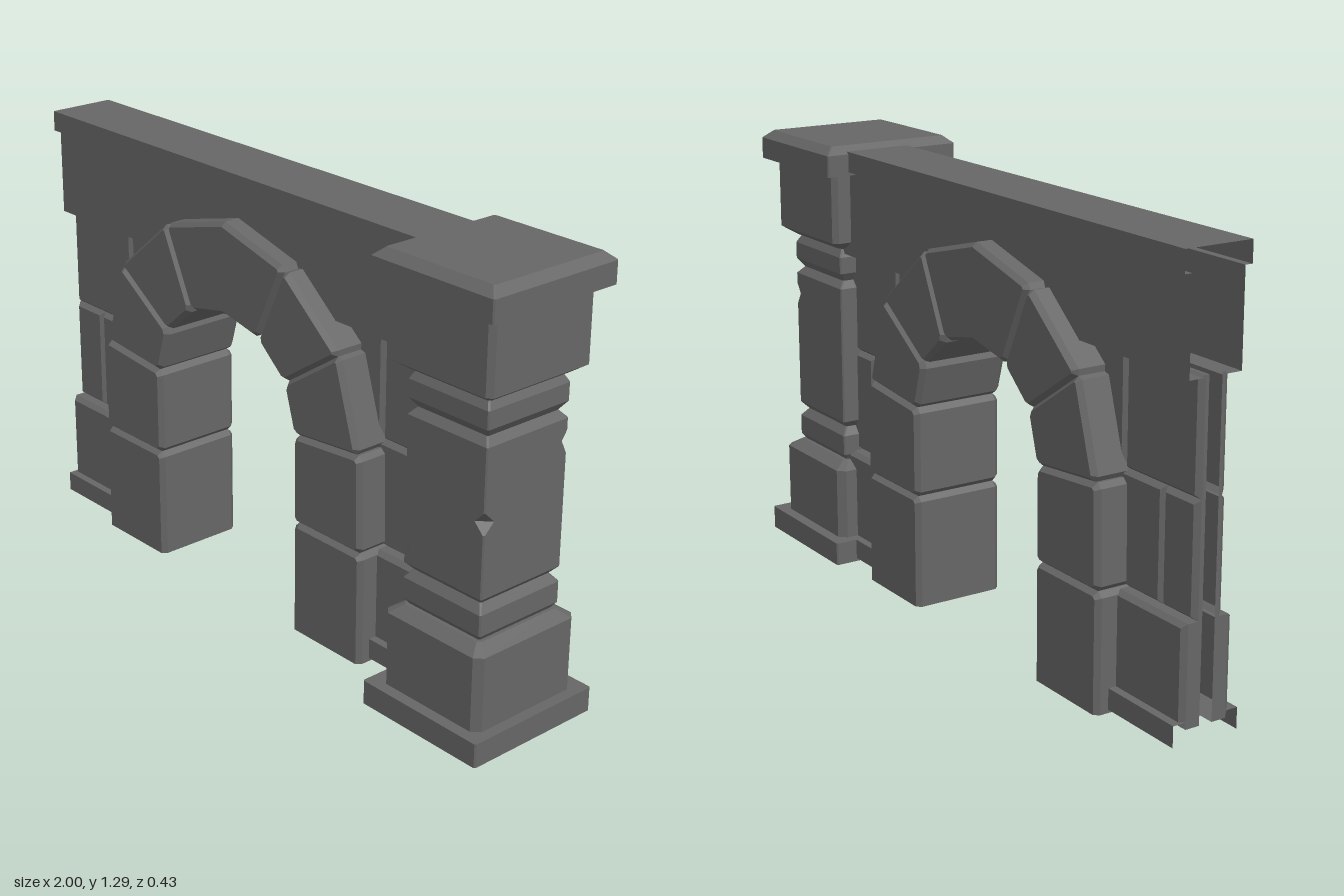
import * as THREE from 'three';

const stone = new THREE.MeshStandardMaterial({ color: 0x666666, flatShading: true, side: THREE.DoubleSide });
stone.name = 'dark grey stone';

const WALL_Z = -0.047; // middle plane of wall and arch
const ARCH_X = -0.15; // middle of the opening

// Joins equal-length rings of points; caps are fans about the ring centre.
function loft(rings, { capStart = true, capEnd = true, closed = true } = {}) {
  const pos = [];
  const tri = (...pts) => pts.forEach((p) => pos.push(p.x, p.y, p.z));
  const n = rings[0].length;
  for (let r = 0; r + 1 < rings.length; r++) {
    const a = rings[r], b = rings[r + 1];
    for (let i = 0; i < (closed ? n : n - 1); i++) {
      const j = (i + 1) % n;
      tri(a[i], a[j], b[j]);
      tri(a[i], b[j], b[i]);
    }
  }
  const cap = (ring, flip) => {
    const c = ring.reduce((s, p) => s.add(p), new THREE.Vector3()).divideScalar(n);
    ring.forEach((p, i) => {
      const q = ring[(i + 1) % n];
      if (flip) tri(c, q, p); else tri(c, p, q);
    });
  };
  if (capStart) cap(rings[0], true);
  if (capEnd) cap(rings[rings.length - 1], false);
  const g = new THREE.BufferGeometry();
  g.setAttribute('position', new THREE.Float32BufferAttribute(pos, 3));
  g.computeVertexNormals();
  return g;
}

// Moves every edge of a counter-clockwise outline inwards by d.
function inset(pts, d) {
  return pts.map((p, i) => {
    const prev = pts[(i + pts.length - 1) % pts.length], next = pts[(i + 1) % pts.length];
    const u = p.clone().sub(prev).normalize(), v = next.clone().sub(p).normalize();
    const n1 = new THREE.Vector2(-u.y, u.x), n2 = new THREE.Vector2(-v.y, v.x);
    const m = n1.clone().add(n2);
    return p.clone().addScaledVector(m, d / (1 + n1.dot(n2)));
  });
}

// Cuts off the sharp corners of an outline.
function cutCorners(pts, d) {
  return pts.flatMap((p, i) => {
    const a = pts[(i + pts.length - 1) % pts.length].clone().sub(p).normalize();
    const b = pts[(i + 1) % pts.length].clone().sub(p).normalize();
    if (a.dot(b) < -0.8) return [p];
    return [p.clone().addScaledVector(a, d), p.clone().addScaledVector(b, d)];
  });
}

const lift = (pts, z) => pts.map((p) => new THREE.Vector3(p.x, Math.max(p.y, 0), z));
const outline = (list) => list.map(([x, y]) => new THREE.Vector2(x, y));

// Bevelled arch stone, from a counter-clockwise outline.
function archStone(pts, half = 0.142) {
  const full = cutCorners(pts, 0.015), small = inset(full, 0.012);
  return loft([
    lift(small, WALL_Z - half), lift(full, WALL_Z - half + 0.015),
    lift(full, WALL_Z + half - 0.015), lift(small, WALL_Z + half),
  ]);
}

// Bevelled wall facing, open at the back; side is +1 front, -1 back.
function facing(x0, x1, y0, y1, depth, side) {
  const full = outline([[x0, y0], [x1, y0], [x1, y1], [x0, y1]]);
  const small = inset(full, 0.012);
  const rings = [[full, 0.02], [full, depth - 0.015], [small, depth]].map(([pts, d]) => {
    const ring = lift(pts, WALL_Z + side * d);
    return side > 0 ? ring : ring.reverse();
  });
  return loft(rings, { capStart: false });
}

// Open moulding running along x, from [y, z offset] points.
function moulding(profile, x0, x1) {
  const ring = (x) => profile.map(([y, d]) => new THREE.Vector3(x, y, WALL_Z + d));
  return loft([ring(x0), ring(x1)], { capStart: false, capEnd: false, closed: false });
}

// Square pillar section; cuts are the corner chamfers, starting at front right.
function pillarRing(y, half, cut = 0.004, chips = {}) {
  const corners = [[1, 1], [1, -1], [-1, -1], [-1, 1]];
  return corners.flatMap(([sx, sz], i) => {
    const c = chips[i] ?? cut, inX = half - c;
    const a = new THREE.Vector3(sx * inX * 0.965, y, sz * half);
    const b = new THREE.Vector3(sx * half * 0.965, y, sz * inX);
    return sx * sz > 0 ? [a, b] : [b, a];
  });
}

export function createModel() {
  const model = new THREE.Group();
  const add = (parent, name, geometry) => {
    const mesh = new THREE.Mesh(geometry, stone);
    mesh.name = name;
    parent.add(mesh);
    return mesh;
  };
  const group = (name) => {
    const g = new THREE.Group();
    g.name = name;
    model.add(g);
    return g;
  };

  // Upper wall with coping
  const wall = group('wall');
  const half = [[0.955, 0.02], [0.955, 0.08], [1.215, 0.08], [1.215, 0.102], [1.275, 0.102]];
  const upper = [...half, ...half.map(([y, d]) => [y, -d]).reverse()];
  add(wall, 'upperWallAndCoping', moulding(upper, -1, 0.85));

  // Facing blocks and plinth on both faces
  const blocks = [
    [-1, -0.6, 0.05, 0.333, 0.078], [0.3, 0.7, 0.05, 0.333, 0.078],
    [-1, -0.867, 0.333, 0.648, 0.047], [-0.867, -0.6, 0.333, 0.648, 0.047],
    [0.3, 0.555, 0.333, 0.648, 0.047], [0.555, 0.72, 0.333, 0.648, 0.047],
    [-1, -0.705, 0.648, 0.962, 0.045], [-0.705, -0.5, 0.648, 0.962, 0.045],
    [0.2, 0.405, 0.648, 0.962, 0.045], [0.405, 0.72, 0.648, 0.962, 0.045],
  ];
  for (const side of [1, -1]) {
    for (const b of blocks) add(wall, 'wallBlock', facing(...b, side));
    const plinth = [[0.01, 0.102], [0.07, 0.102], [0.07, 0.02]].map(([y, d]) => [y, d * side]);
    if (side < 0) plinth.reverse();
    for (const [x0, x1] of [[-1, -0.6], [0.3, 0.7]]) add(wall, 'plinth', moulding(plinth, x0, x1));
  }

  // Arch: mirrored stones and a keystone
  const arch = group('arch');
  const stones = {
    pierBase: [[-0.73, -0.04], [-0.45, -0.04], [-0.45, 0.338], [-0.73, 0.338]],
    pierBlock: [[-0.727, 0.338], [-0.45, 0.338], [-0.45, 0.604], [-0.72, 0.628]],
    lowerArchStone: [[-0.712, 0.628], [-0.45, 0.604], [-0.408, 0.745], [-0.63, 0.892]],
    upperArchStone: [[-0.63, 0.892], [-0.408, 0.745], [-0.297, 0.84], [-0.408, 1.075]],
  };
  for (const [name, list] of Object.entries(stones)) {
    add(arch, name, archStone(outline(list)));
    const mirrored = list.map(([x, y]) => [2 * ARCH_X - x, y]).reverse();
    add(arch, name, archStone(outline(mirrored)));
  }
  add(arch, 'keystone', archStone(outline([
    [-0.297, 0.84], [-0.15, 0.87], [-0.003, 0.84], [0.108, 1.075], [-0.15, 1.142], [-0.408, 1.075],
  ])));

  // Pillar, a stack of square sections [y, half width, corner cut, chipped corners]
  const pillar = group('pillar');
  pillar.position.x = 0.79;
  const parts = {
    pillarFoot: [[0, 0.217], [0.07, 0.217]],
    pillarBase: [[0.07, 0.183, 0.022], [0.285, 0.183, 0.022], [0.308, 0.145, 0.01]],
    lowerCollar: [[0.3, 0.128], [0.325, 0.146], [0.385, 0.146], [0.409, 0.126]],
    shaft: [
      [0.409, 0.126], [0.43, 0.146], [0.45, 0.146], [0.48, 0.146, 0.004, { 3: 0.025 }], [0.505, 0.146],
      [0.61, 0.146], [0.64, 0.146, 0.004, { 0: 0.035 }], [0.67, 0.146],
      [0.75, 0.146], [0.785, 0.146, 0.004, { 1: 0.025 }], [0.815, 0.146], [0.848, 0.146], [0.87, 0.126],
    ],
    upperCollar: [[0.868, 0.126], [0.895, 0.146], [0.945, 0.146], [0.98, 0.126]],
    pillarHead: [[0.972, 0.145, 0.01], [0.997, 0.183, 0.015], [1.21, 0.183, 0.015]],
    pillarCap: [[1.205, 0.217], [1.268, 0.217], [1.291, 0.19]],
  };
  for (const [name, rings] of Object.entries(parts)) {
    add(pillar, name, loft(rings.map((r) => pillarRing(...r))));
  }
  return model;
}
